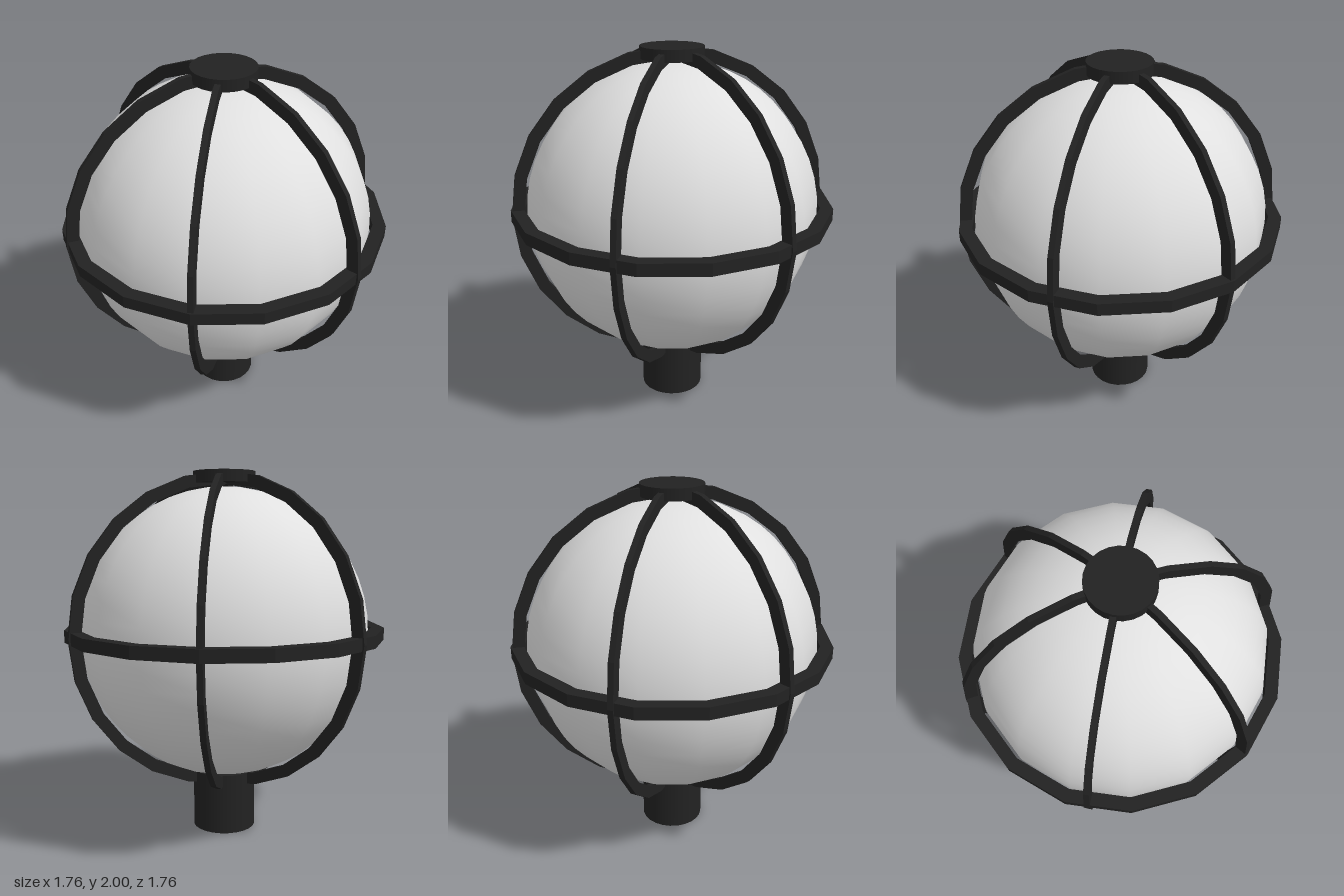
import * as THREE from 'three';

const CENTER_Y = 1.125;

// Faceted flat band with a rectangular section, lying in the XY plane and centred on the origin
function polygonRing(outer, inner, sides, thickness) {
  const points = (r) => Array.from({ length: sides }, (_, i) => {
    const a = (i / sides) * Math.PI * 2;
    return new THREE.Vector2(Math.cos(a) * r, Math.sin(a) * r);
  });
  const shape = new THREE.Shape(points(outer));
  shape.holes.push(new THREE.Path(points(inner)));
  const geo = new THREE.ExtrudeGeometry(shape, { depth: thickness, bevelEnabled: false });
  return geo.translate(0, 0, -thickness / 2);
}

export function createModel() {
  const model = new THREE.Group();
  model.name = 'cagedGlobeLamp';

  const metal = new THREE.MeshStandardMaterial({ color: 0x222222 });
  metal.name = 'darkMetal';
  const glass = new THREE.MeshStandardMaterial({ color: 0xe0e0e0 });
  glass.name = 'paleGlass';

  const add = (name, geo, mat, y, parent = model) => {
    const mesh = new THREE.Mesh(geo, mat);
    mesh.name = name;
    mesh.position.y = y;
    parent.add(mesh);
    return mesh;
  };

  // Glowing globe
  add('globe', new THREE.SphereGeometry(0.795, 16, 24), glass, CENTER_Y);

  // Socket below and cap above
  add('socket', new THREE.CylinderGeometry(0.175, 0.175, 0.335, 24), metal, 0.1675);
  add('topCap', new THREE.CylinderGeometry(0.17, 0.17, 0.063, 24), metal, 1.9685);

  // Cage: three upright hoops, each making two ribs, and one horizontal band
  const cage = new THREE.Group();
  cage.name = 'cage';
  model.add(cage);
  const hoop = polygonRing(0.875, 0.81, 24, 0.03);
  for (let i = 0; i < 3; i++) {
    const rib = add('ribHoop' + (i + 1), hoop, metal, CENTER_Y, cage);
    rib.rotation.y = Math.PI / 2 + (i * Math.PI) / 3;
  }
  const band = polygonRing(0.88, 0.81, 16, 0.066).rotateX(Math.PI / 2);
  add('equatorBand', band, metal, CENTER_Y + 0.002, cage);

  return model;
}
